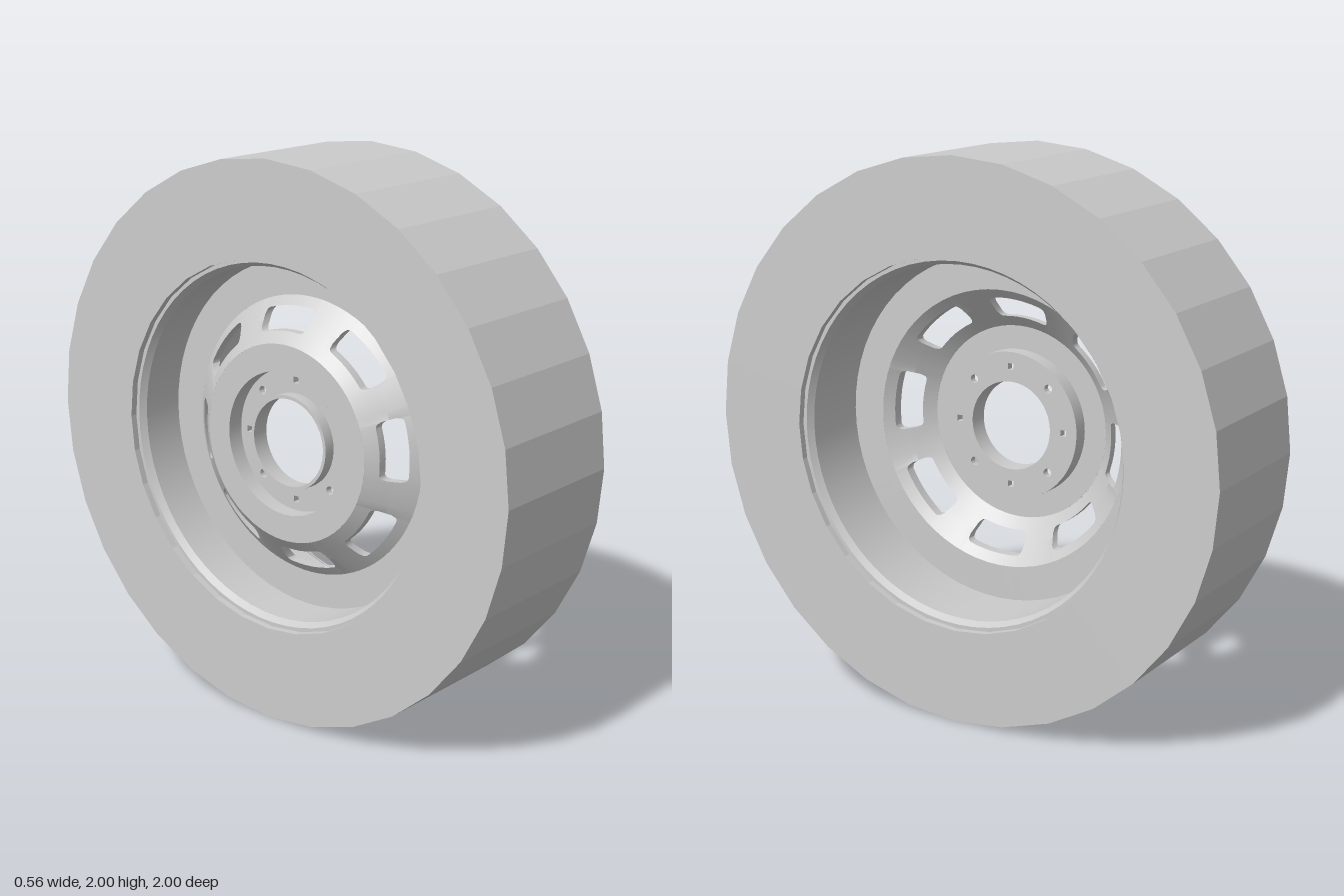
import * as THREE from 'three';
import { toCreasedNormals } from 'three/addons/utils/BufferGeometryUtils.js';

const grey = new THREE.MeshStandardMaterial({ color: 0xcccccc });

function addPart(group, name, geometry) {
  const mesh = new THREE.Mesh(geometry, grey);
  mesh.name = name;
  group.add(mesh);
}

// Closed ring around the x axis; profile is [radius, x], counterclockwise
function ring(profile, segments, crease = 0.5) {
  const points = [...profile, profile[0]].map(([r, x]) => new THREE.Vector2(r, x));
  const geometry = new THREE.LatheGeometry(points, segments);
  geometry.rotateZ(-Math.PI / 2);
  return toCreasedNormals(geometry, crease);
}

// Sloping part of the disc
const CONE = { inner: 0.355, outer: 0.505, frontIn: -0.16, frontOut: -0.025, backIn: -0.19, backOut: -0.065 };
// Slots cut in it
const SLOT = { count: 8, phase: -0.1, half: 0.25, low: 0.395, high: 0.472, corner: 0.02 };

// Angles around the disc, each with the slot's lower and upper radius there
function slotStations() {
  const stations = [];
  const mid = (SLOT.low + SLOT.high) / 2;
  const cornerAngle = SLOT.corner / mid;
  const pitch = (Math.PI * 2) / SLOT.count;
  for (let s = 0; s < SLOT.count; s++) {
    const centre = SLOT.phase + s * pitch;
    const offsets = [];
    for (let i = 0; i <= 4; i++) offsets.push(-SLOT.half + (cornerAngle * i) / 4);
    for (let i = 1; i < 6; i++) offsets.push((SLOT.half - cornerAngle) * (i / 3 - 1));
    for (let i = 0; i <= 4; i++) offsets.push(SLOT.half - cornerAngle * (1 - i / 4));
    stations.push({ angle: centre - SLOT.half, low: mid, high: mid });
    for (const d of offsets) {
      const t = Math.min(1, Math.max(0, (Math.abs(d) - SLOT.half + cornerAngle) / cornerAngle));
      const inset = SLOT.corner * (1 - Math.sqrt(1 - t * t));
      stations.push({ angle: centre + d, low: SLOT.low + inset, high: SLOT.high - inset });
    }
    for (let i = 0; i < 4; i++) {
      const angle = centre + SLOT.half + ((pitch - 2 * SLOT.half) * i) / 4;
      stations.push({ angle, low: mid, high: mid });
    }
  }
  stations.push({ ...stations[0], angle: stations[0].angle + Math.PI * 2 });
  return stations;
}

// Band of the cone between two radii that vary with the angle
function coneBand(stations, radii) {
  const positions = [];
  const index = [];
  const lerp = THREE.MathUtils.lerp;
  stations.forEach((station, j) => {
    const [r0, r1] = radii(station);
    for (const [r, front] of [[r0, true], [r1, true], [r1, false], [r0, false]]) {
      const t = (r - CONE.inner) / (CONE.outer - CONE.inner);
      const x = front ? lerp(CONE.frontIn, CONE.frontOut, t) : lerp(CONE.backIn, CONE.backOut, t);
      positions.push(x, r * Math.cos(station.angle), r * Math.sin(station.angle));
    }
    if (j === stations.length - 1) return;
    for (let k = 0; k < 4; k++) {
      const a = j * 4 + k, b = j * 4 + ((k + 1) % 4);
      index.push(a, b, b + 4, a, b + 4, a + 4);
    }
  });
  const geometry = new THREE.BufferGeometry();
  geometry.setAttribute('position', new THREE.Float32BufferAttribute(positions, 3));
  geometry.setIndex(index);
  return toCreasedNormals(geometry, 0.5);
}

// Flat hub plate with a centre bore and alternating square and round holes
function hubPlate() {
  const shape = new THREE.Shape().absarc(0, 0, 0.27, 0, Math.PI * 2, false);
  shape.holes.push(new THREE.Path().absarc(0, 0, 0.165, 0, Math.PI * 2, true));
  for (let i = 0; i < 8; i++) {
    const angle = (i * Math.PI) / 4;
    const x = 0.217 * Math.cos(angle), y = 0.217 * Math.sin(angle);
    const sides = i % 2 ? 12 : 4;
    const corners = [];
    for (let k = 0; k < sides; k++) {
      const a = Math.PI / 4 - (k * Math.PI * 2) / sides;
      corners.push(new THREE.Vector2(x + 0.016 * Math.cos(a), y + 0.016 * Math.sin(a)));
    }
    shape.holes.push(new THREE.Path(corners));
  }
  const geometry = new THREE.ExtrudeGeometry(shape, { depth: 0.027, bevelEnabled: false, curveSegments: 32 });
  geometry.translate(0, 0, -0.127);
  geometry.rotateY(Math.PI / 2);
  return toCreasedNormals(geometry, 0.5);
}

export function createModel() {
  const group = new THREE.Group();
  group.name = 'wheel';
  const wheel = new THREE.Group();
  wheel.name = 'wheelAssembly';
  wheel.position.y = 1;
  group.add(wheel);

  // Faceted tyre
  addPart(wheel, 'tyre', ring([[0.66, -0.28], [1, -0.28], [1, 0.28], [0.66, 0.28]], 32, 0.1));

  // Rim with a small lip on both sides
  addPart(wheel, 'rim', ring([
    [0.67, -0.255], [0.67, 0.255], [0.645, 0.255],
    [0.63, 0.23], [0.63, -0.23], [0.645, -0.255],
  ], 64));

  // Disc: outer flange, slotted cone, stepped hub
  addPart(wheel, 'discFlange', ring([[0.505, -0.065], [0.64, -0.065], [0.64, -0.025], [0.505, -0.025]], 64));
  const stations = slotStations();
  addPart(wheel, 'slottedConeInner', coneBand(stations, (s) => [CONE.inner, s.low]));
  addPart(wheel, 'slottedConeOuter', coneBand(stations, (s) => [s.high, CONE.outer]));
  addPart(wheel, 'hubStep', ring([
    [0.258, -0.19], [0.355, -0.19], [0.355, -0.16],
    [0.27, -0.16], [0.27, -0.115], [0.258, -0.115],
  ], 64));
  addPart(wheel, 'hubPlate', hubPlate());

  // Collar around the centre bore
  addPart(wheel, 'boreCollar', ring([[0.158, -0.17], [0.17, -0.17], [0.17, -0.12], [0.166, -0.1], [0.162, -0.1]], 64));

  return group;
}
